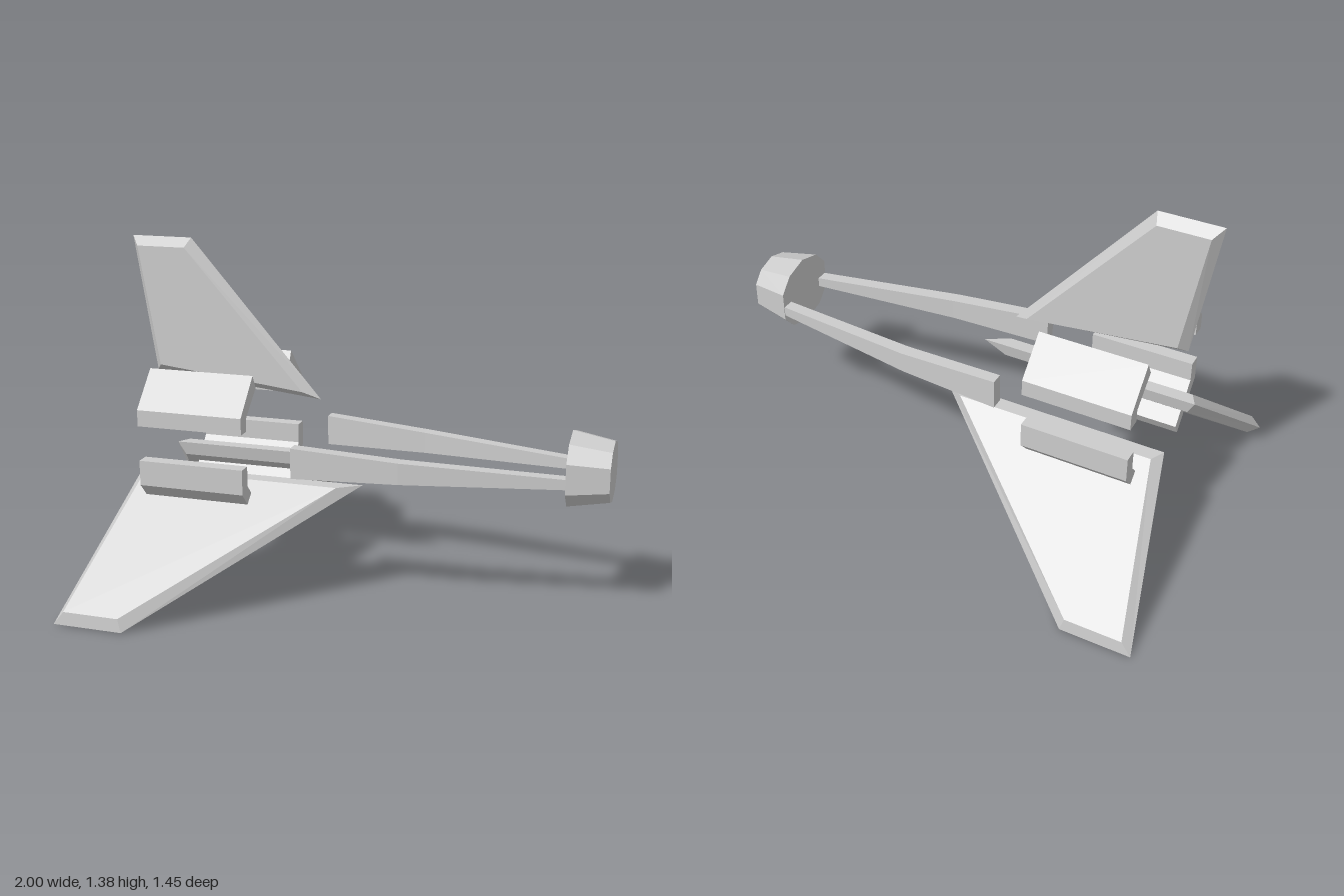
import * as THREE from 'three';

const material = new THREE.MeshStandardMaterial({ color: 0xcccccc, flatShading: true });

// Closed faceted solid through equal-length rings of [x, y, z], capped at both ends.
function loft(name, rings) {
  const n = rings[0].length;
  const points = rings.flat().map((p) => new THREE.Vector3(...p));
  const tris = [];
  for (let r = 0; r < rings.length - 1; r++) {
    for (let i = 0; i < n; i++) {
      const a = r * n + i, b = r * n + (i + 1) % n;
      tris.push([a, b, b + n], [a, b + n, a + n]);
    }
  }
  const last = (rings.length - 1) * n;
  for (let i = 1; i < n - 1; i++) {
    tris.push([0, i + 1, i], [last, last + i, last + i + 1]);
  }
  // Mirrored rings come out inverted: the signed volume tells which way to wind
  let volume = 0;
  const cross = new THREE.Vector3();
  for (const [a, b, c] of tris) volume += points[a].dot(cross.crossVectors(points[b], points[c]));
  if (volume < 0) tris.forEach((t) => t.reverse());

  const geometry = new THREE.BufferGeometry().setFromPoints(tris.flat().map((i) => points[i]));
  geometry.computeVertexNormals();
  const mesh = new THREE.Mesh(geometry, material);
  mesh.name = name;
  return mesh;
}

// Fin with bevelled edges: outlines are [x, span]; span runs from root (y, z) along dir (y, z).
function fin(name, outer, inner, root, dir, halfThickness) {
  const place = (outline, t) => outline.map(([x, s]) => [
    x,
    root[0] + dir[0] * s - dir[1] * t,
    root[1] + dir[1] * s + dir[0] * t,
  ]);
  return loft(name, [place(inner, halfThickness), place(outer, 0), place(inner, -halfThickness)]);
}

export function createModel() {
  const model = new THREE.Group();

  // Ten-sided nose, tapering forward
  const half = [[0.15, 0], [0.122, 0.098], [0.06, 0.153], [-0.06, 0.153], [-0.122, 0.098]];
  const section = [...half, ...half.map(([y, z]) => [-y, -z])];
  const noseRing = (x, k) => section.map(([y, z]) => [x, 0.57 + y * k, z * k]);
  model.add(loft('nose', [noseRing(0.84, 1), noseRing(1, 0.8)]));

  // Upright fin
  model.add(fin('topFin',
    [[-0.945, 1.38], [-0.695, 1.38], [-0.16, 0.76], [-0.86, 0.835]],
    [[-0.91, 1.345], [-0.71, 1.345], [-0.225, 0.795], [-0.83, 0.865]],
    [0, 0], [1, 0], 0.041));

  // Bent plates in y, z: inner corner, inner end, outer end, outer corner, flat end
  const upperPlate = [[0.746, 0.298], [0.84, 0.19], [0.895, 0.22], [0.76, 0.353], [0.695, 0.353], [0.695, 0.298]];
  const lowerPlate = [[0.475, 0.298], [0.33, 0.168], [0.283, 0.195], [0.455, 0.353], [0.555, 0.353], [0.555, 0.298]];
  // Boom stations: x, bottom, top, inner z, outer z
  const stations = [
    [-0.2, 0.508, 0.63, 0.21, 0.26],
    [0.22, 0.517, 0.602, 0.182, 0.236],
    [0.84, 0.53, 0.57, 0.102, 0.15],
  ];

  for (const [side, s] of [['right', -1], ['left', 1]]) {
    model.add(loft(side + 'Boom', stations.map(([x, y0, y1, z0, z1]) => [
      [x, y0, s * z0], [x, y0, s * z1], [x, y1, s * z1], [x, y1, s * z0],
    ])));

    // Lower fins spread 40 degrees below horizontal
    model.add(fin(side + 'LowerFin',
      [[-0.995, 0.738], [-0.715, 0.738], [0.06, 0], [-0.86, 0]],
      [[-0.955, 0.7], [-0.73, 0.7], [-0.03, 0.045], [-0.83, 0.045]],
      [0.475, s * 0.16], [-0.643, s * 0.766], 0.036));

    for (const [level, plate] of [['Upper', upperPlate], ['Lower', lowerPlate]]) {
      model.add(loft(side + level + 'EnginePlate',
        [-0.79, -0.362].map((x) => plate.map(([y, z]) => [x, y, s * z]))));
    }
  }

  return model;
}
